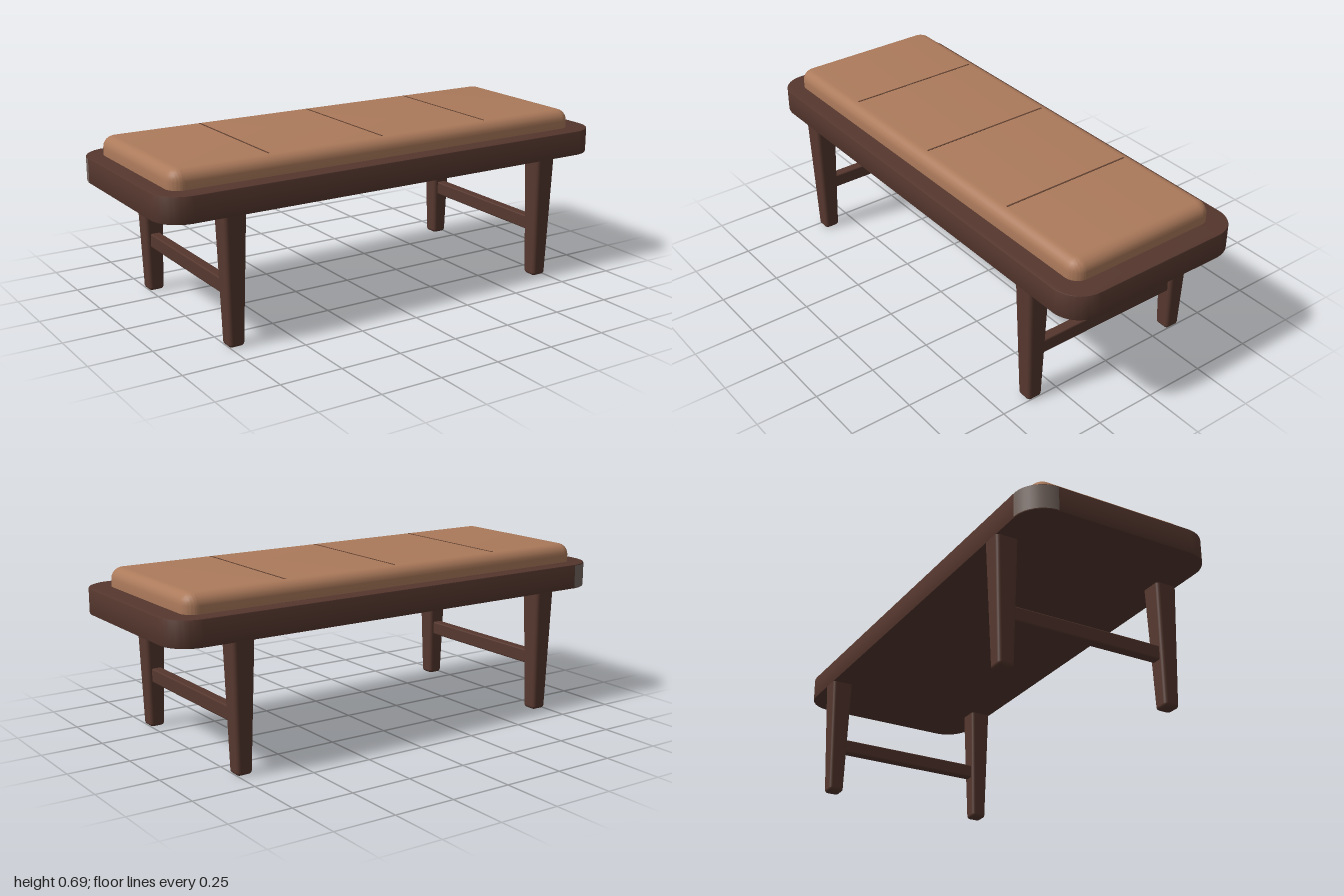
import * as THREE from 'three';
import { toCreasedNormals } from 'three/addons/utils/BufferGeometryUtils.js';
import { RoundedBoxGeometry } from 'three/addons/geometries/RoundedBoxGeometry.js';

const material = (name, color) => Object.assign(new THREE.MeshStandardMaterial({ color }), { name });

// Horizontal slab with rounded corners and softened edges, from y0 to y1
function slab(width, depth, radius, y0, y1, bevel, segments) {
  const w = width / 2 - bevel, d = depth / 2 - bevel, r = radius - bevel;
  const shape = new THREE.Shape();
  shape.absarc(w - r, d - r, r, 0, Math.PI / 2);
  shape.absarc(-w + r, d - r, r, Math.PI / 2, Math.PI);
  shape.absarc(-w + r, -d + r, r, Math.PI, Math.PI * 1.5);
  shape.absarc(w - r, -d + r, r, Math.PI * 1.5, Math.PI * 2);
  const geometry = new THREE.ExtrudeGeometry(shape, {
    depth: y1 - y0 - 2 * bevel, bevelSize: bevel, bevelThickness: bevel,
    bevelSegments: segments, curveSegments: 10,
  });
  geometry.rotateX(-Math.PI / 2).translate(0, y0 + bevel, 0);
  return toCreasedNormals(geometry, 0.6);
}

// Soft-edged square leg, narrowing toward the floor
function legGeometry(height) {
  const geometry = new RoundedBoxGeometry(1, height, 1, 3, 0.014);
  const p = geometry.attributes.position;
  for (let i = 0; i < p.count; i++) {
    const t = p.getY(i) / height + 0.5;
    // Rescale the unit section while keeping the rounded edge size
    const half = THREE.MathUtils.lerp(0.032, 0.046, t);
    const fit = (v) => Math.sign(v) * Math.max(half - (0.5 - Math.abs(v)), 0);
    p.setXYZ(i, fit(p.getX(i)), p.getY(i) + height / 2, fit(p.getZ(i)));
  }
  return geometry;
}

export function createModel() {
  const group = new THREE.Group();
  group.name = 'bench';
  const wood = material('darkWood', 0x55372e);
  const leather = material('tanLeather', 0xac7a5b);
  const seamColor = material('seamBrown', 0x5f4030);
  const worn = material('wornGrey', 0x75665f);
  worn.side = THREE.DoubleSide;

  const add = (name, geometry, mat, x = 0, y = 0, z = 0) => {
    const mesh = new THREE.Mesh(geometry, mat);
    mesh.name = name;
    mesh.position.set(x, y, z);
    group.add(mesh);
    return mesh;
  };

  // Wooden seat frame
  add('seatFrame', slab(2, 0.8, 0.115, 0.507, 0.61, 0.004, 2), wood);

  // Worn patch around the back right corner of the frame
  add('wornCorner', new THREE.CylinderGeometry(0.116, 0.116, 0.095, 10, 1, true, Math.PI, Math.PI / 2),
    worn, -0.885, 0.5585, -0.285).scale.set(1, 1, 1);

  // Cushion with stitched cross seams
  add('cushion', slab(1.85, 0.66, 0.055, 0.55, 0.685, 0.045, 6), leather, -0.01, 0, -0.003);
  for (const x of [-0.52, -0.02, 0.48]) {
    add('cushionSeam', new THREE.BoxGeometry(0.007, 0.004, 0.57), seamColor, x, 0.684, -0.003);
  }

  // Legs, with a stretcher joining each end pair
  const leg = legGeometry(0.53);
  for (const side of [-1, 1]) {
    for (const end of [-1, 1]) add('leg', leg, wood, side * 0.722, 0, end * 0.354);
    add('stretcher', new RoundedBoxGeometry(0.042, 0.058, 0.68, 2, 0.006), wood, side * 0.722, 0.219, 0);
  }
  return group;
}
